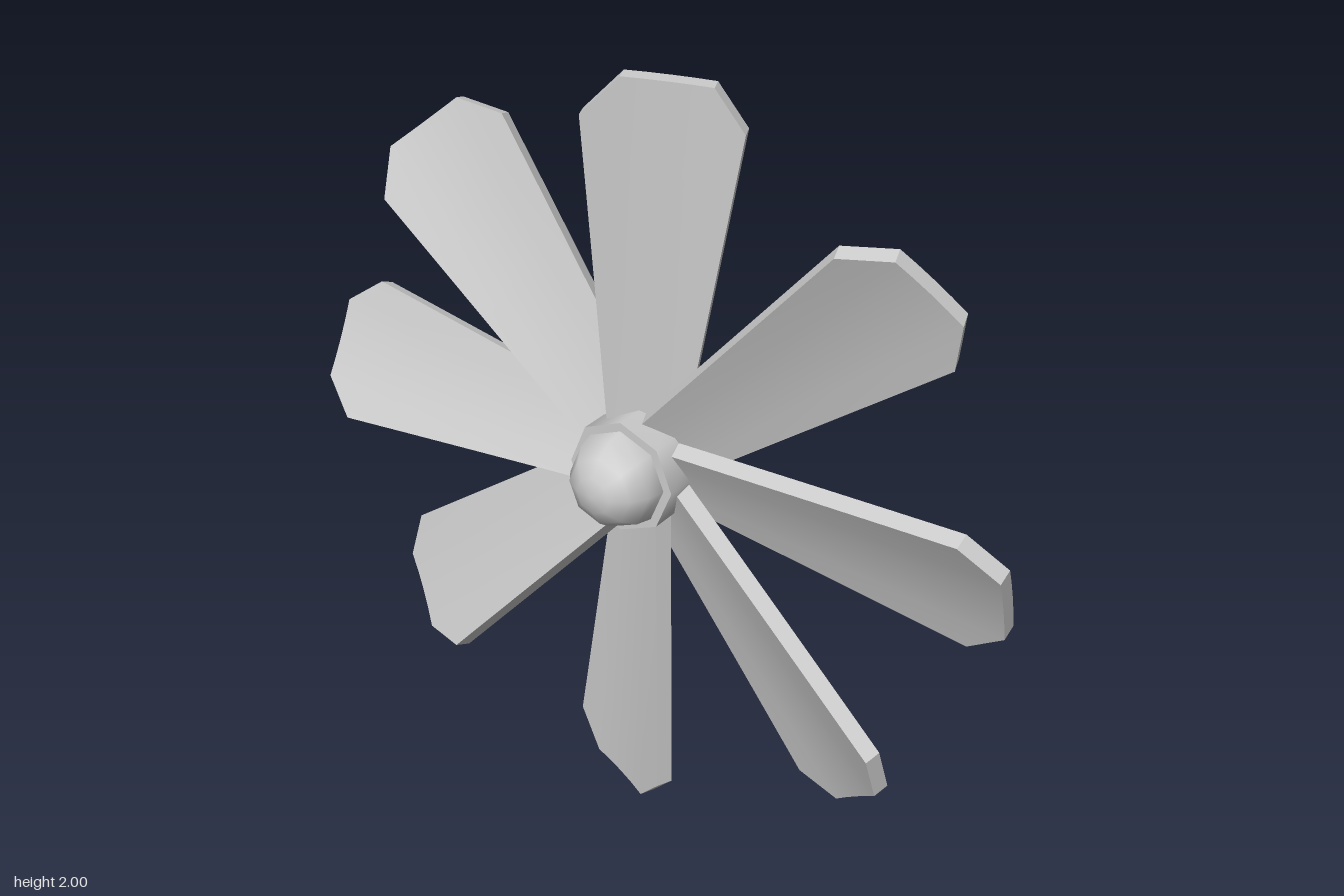
import * as THREE from 'three';
import { toCreasedNormals } from 'three/addons/utils/BufferGeometryUtils.js';

const BLADES = 8;
const ROOT = 0.09, TIP = 0.995, SHOULDER = 0.897;
const DEPTH = 0.045, PITCH = 0.4, CAMBER = 0.5;

// Blade pointing up +y: a tapered, pitched, slightly dished sheet with clipped
// tip corners and a rim folded backwards, hollow behind
function bladeGeometry() {
  const across = [-1, -0.53, -0.27, 0, 0.27, 0.53, 1];
  const geo = new THREE.BoxGeometry(6, 1, 1, 6, 4, 1);
  // Drop the back panel, which is the last group of the box
  geo.setIndex([...geo.index.array.slice(0, geo.groups[5].start)]);
  geo.clearGroups();
  const pos = geo.attributes.position;
  for (let i = 0; i < pos.count; i++) {
    const u = across[Math.round(pos.getX(i) + 3)];
    const v = pos.getY(i) + 0.5;
    const side = pos.getZ(i) * DEPTH;
    const clip = Math.max(0, (Math.abs(u) - 0.53) / 0.47);
    const end = THREE.MathUtils.lerp(TIP, SHOULDER, clip);
    const y = THREE.MathUtils.lerp(ROOT, end, v);
    const x = u * (0.088 + 0.111 * (y - 0.1));
    const z = -0.04 - 0.005 * v - x * Math.tan(PITCH) + CAMBER * x * x;
    pos.setXYZ(i, x + side * Math.sin(PITCH), y, z + side * Math.cos(PITCH));
  }
  return toCreasedNormals(geo, 0.5);
}

// Eight-sided shell turned about z from (radius, z) points
function turned(points) {
  const geo = new THREE.LatheGeometry(points.map(([r, z]) => new THREE.Vector2(r, z)), 8);
  geo.rotateX(Math.PI / 2);
  return toCreasedNormals(geo, 1);
}

export function createModel() {
  const model = new THREE.Group();
  model.name = 'fanRotor';
  const shell = new THREE.MeshStandardMaterial({ color: 0xcccccc, side: THREE.DoubleSide });

  const rotor = new THREE.Group();
  rotor.name = 'rotor';
  rotor.position.y = 1;
  model.add(rotor);

  // Hub sleeve, open at the back, with a narrow front rim
  const hub = new THREE.Mesh(turned([[0.15, -0.195], [0.15, 0.068], [0.127, 0.068]]), shell);
  hub.name = 'hub';
  rotor.add(hub);

  // Domed nose cap
  const dome = [];
  for (let i = 0; i <= 4; i++) {
    const a = (i / 4) * Math.PI / 2;
    dome.push([i === 4 ? 0 : 0.127 * Math.cos(a), 0.068 + 0.125 * Math.sin(a)]);
  }
  const nose = new THREE.Mesh(turned(dome), shell);
  nose.name = 'noseCap';
  rotor.add(nose);

  // Ring of blades
  const geo = bladeGeometry();
  for (let i = 0; i < BLADES; i++) {
    const blade = new THREE.Mesh(geo, shell);
    blade.name = 'blade' + (i + 1);
    blade.rotation.z = -0.061 - (i * Math.PI * 2) / BLADES;
    rotor.add(blade);
  }
  return model;
}
